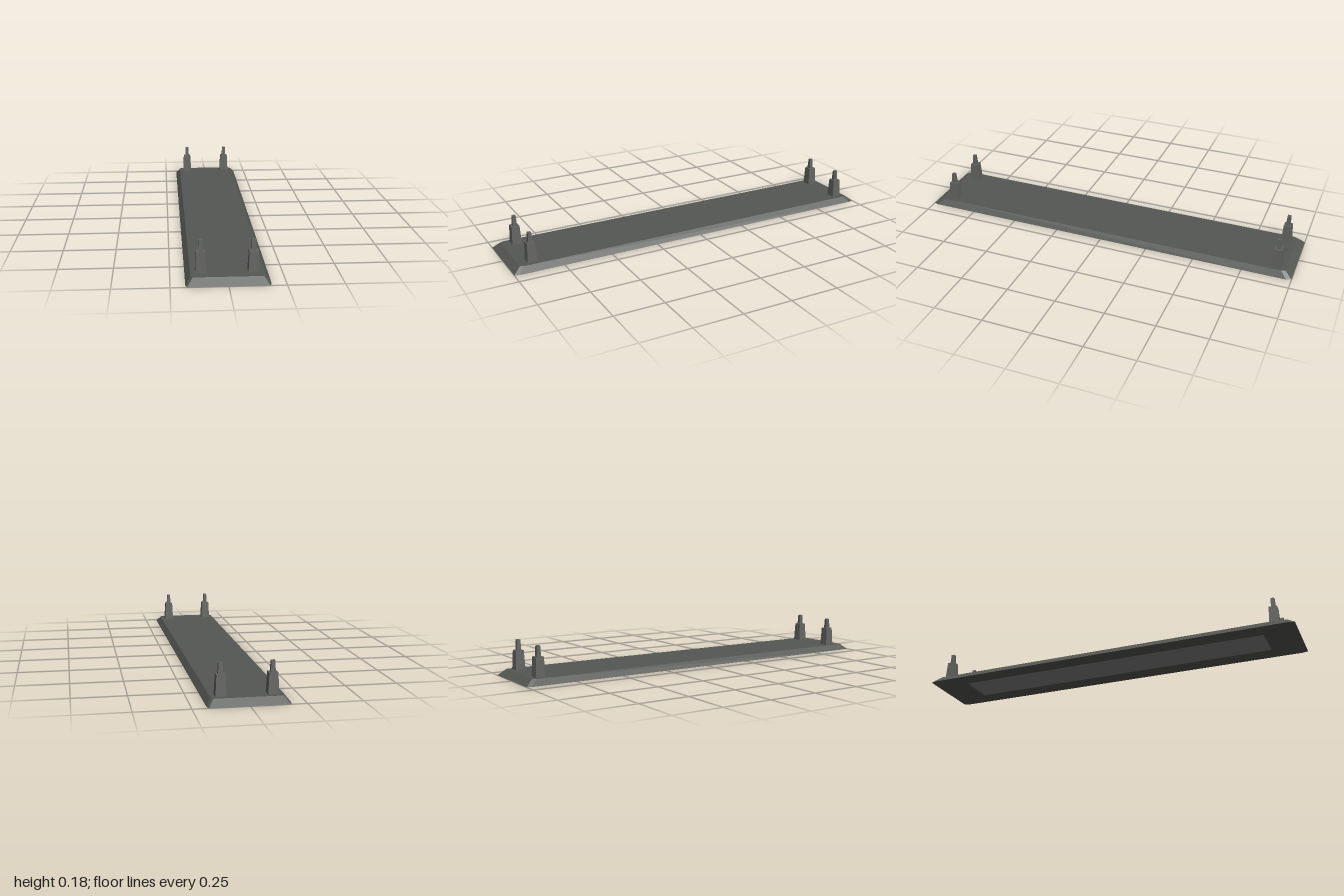
import * as THREE from 'three';

const mat = (color) => new THREE.MeshStandardMaterial({ color, flatShading: true });

// Rectangle with clipped corners: half sizes w, d, corner cuts cx, cz, height y
const ring = (w, d, cx, cz, y) => [
  [w, y, d - cz], [w, y, -d + cz], [w - cx, y, -d], [-w + cx, y, -d],
  [-w, y, -d + cz], [-w, y, d - cz], [-w + cx, y, d], [w - cx, y, d],
];

// Skin between successive rings, listed from the top outwards and down
function skin(rings, capFirst) {
  const pos = [];
  const tri = (a, b, c) => pos.push(...a, ...b, ...c);
  const n = rings[0].length;
  if (capFirst) {
    for (let i = 1; i < n - 1; i++) tri(rings[0][0], rings[0][i], rings[0][i + 1]);
  }
  for (let r = 0; r < rings.length - 1; r++) {
    for (let i = 0; i < n; i++) {
      const j = (i + 1) % n;
      const [a, b, c, d] = [rings[r][i], rings[r][j], rings[r + 1][j], rings[r + 1][i]];
      tri(a, d, c);
      tri(a, c, b);
    }
  }
  const g = new THREE.BufferGeometry();
  g.setAttribute('position', new THREE.Float32BufferAttribute(pos, 3));
  g.computeVertexNormals();
  return g;
}

// Square tapered block standing on y0
function taperedBlock(bottom, top, y0, y1) {
  const g = new THREE.CylinderGeometry(top / Math.SQRT2, bottom / Math.SQRT2, y1 - y0, 4);
  g.rotateY(Math.PI / 4);
  g.translate(0, (y0 + y1) / 2, 0);
  return g;
}

export function createModel() {
  const model = new THREE.Group();
  model.name = 'basePlateWithPosts';
  const plateMat = mat(0x555753);
  const postMat = mat(0x636462);
  const panelMat = mat(0x808080);

  // Bevelled plate with a shallow recess underneath
  const plate = new THREE.Mesh(skin([
    ring(0.162, 0.963, 0.008, 0.02, 0.03),
    ring(0.185, 1, 0.008, 0.025, 0),
    ring(0.093, 0.835, 0.002, 0.002, 0),
    ring(0.09, 0.828, 0.002, 0.002, 0.008),
  ], true), plateMat);
  plate.name = 'plate';
  model.add(plate);

  // Panel closing the recess, facing down
  const panelGeo = new THREE.PlaneGeometry(0.18, 1.656);
  panelGeo.rotateX(Math.PI / 2);
  const panel = new THREE.Mesh(panelGeo, panelMat);
  panel.name = 'undersidePanel';
  panel.position.y = 0.008;
  model.add(panel);

  // Four stepped corner posts
  for (const x of [-0.116, 0.115]) {
    for (const z of [-0.913, 0.895]) {
      const post = new THREE.Group();
      post.name = (z > 0 ? 'front' : 'back') + (x > 0 ? 'Left' : 'Right') + 'Post';
      const lower = new THREE.Mesh(taperedBlock(0.049, 0.04, 0.03, 0.125), postMat);
      lower.name = 'postBase';
      const upper = new THREE.Mesh(taperedBlock(0.022, 0.017, 0.125, 0.177), postMat);
      upper.name = 'postPin';
      post.add(lower, upper);
      post.position.set(x, 0, z);
      model.add(post);
    }
  }
  return model;
}
